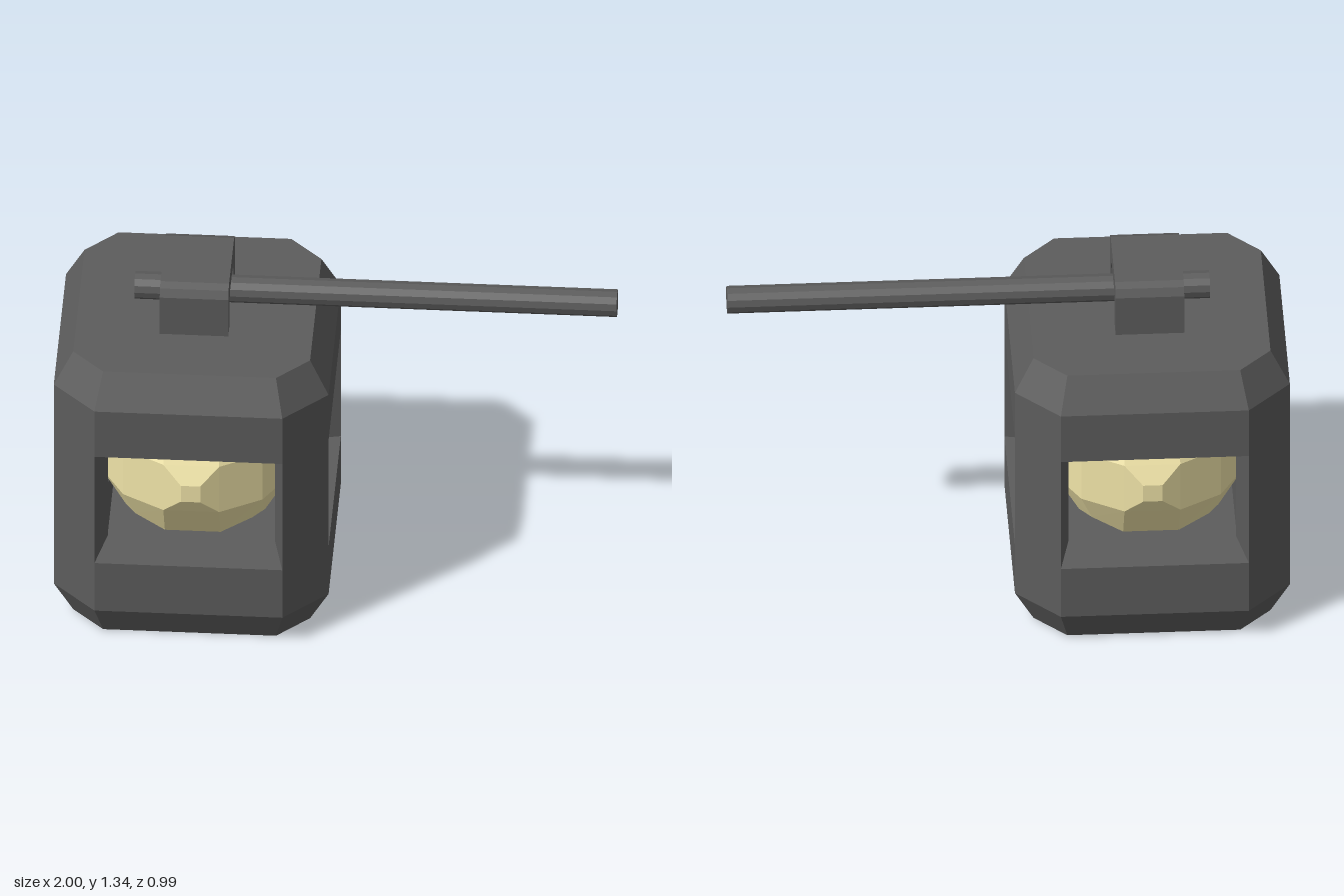
import * as THREE from 'three';

const CX = -0.507; // lantern axis
const metal = new THREE.MeshStandardMaterial({ color: 0x5c5c5c, flatShading: true });
const glow = new THREE.MeshStandardMaterial({ color: 0xf0e4a8, flatShading: true });

function flatGeometry(points) {
  const g = new THREE.BufferGeometry().setFromPoints(points);
  g.computeVertexNormals();
  return g;
}

function addMesh(parent, name, geometry, material) {
  const mesh = new THREE.Mesh(geometry, material);
  mesh.name = name;
  parent.add(mesh);
  return mesh;
}

// Square with cut corners: half width a, corner starts at b
function octagon(a, b, y) {
  return [[a, -b], [a, b], [b, a], [-b, a], [-a, b], [-a, -b], [-b, -a], [b, -a]]
    .map(([x, z]) => new THREE.Vector3(x, y, z));
}

// Skin a stack of octagon rings and cap both ends
function loft(sections) {
  const rings = sections.map(s => octagon(...s));
  const out = [];
  for (let r = 0; r + 1 < rings.length; r++) {
    for (let i = 0; i < 8; i++) {
      const j = (i + 1) % 8, lo = rings[r], up = rings[r + 1];
      out.push(lo[i], up[i], up[j], lo[i], up[j], lo[j]);
    }
  }
  const first = rings[0], last = rings[rings.length - 1];
  for (let i = 1; i < 7; i++) {
    out.push(first[0], first[i], first[i + 1], last[0], last[i + 1], last[i]);
  }
  return flatGeometry(out);
}

// Faceted ball: a rounded cube with 3 x 3 patches per side and a small raised square at each pole
function facetedBall() {
  const grid = (i, j) => {
    const edgeI = i === 0 || i === 3, edgeJ = j === 0 || j === 3;
    const sx = i < 2 ? -1 : 1, sy = j < 2 ? -1 : 1;
    if (edgeI && edgeJ) return [sx * 0.21, sy * 0.21, 0.21];
    if (edgeI) return [sx * 0.25, sy * 0.1, 0.25];
    if (edgeJ) return [sx * 0.1, sy * 0.25, 0.25];
    return [sx * 0.1, sy * 0.1, 0.337];
  };
  const quads = [];
  for (let i = 0; i < 3; i++) {
    for (let j = 0; j < 3; j++) {
      const q = [grid(i, j), grid(i + 1, j), grid(i + 1, j + 1), grid(i, j + 1)];
      if (i !== 1 || j !== 1) { quads.push(q); continue; }
      const pole = q.map(([x, y]) => [x * 0.35, y * 0.35, 0.372]);
      quads.push(pole);
      for (let k = 0; k < 4; k++) {
        const n = (k + 1) % 4;
        quads.push([q[k], q[n], pole[n], pole[k]]);
      }
    }
  }
  const out = [];
  for (let axis = 0; axis < 3; axis++) {
    for (const s of [1, -1]) {
      for (const q of quads) {
        const v = q.map(([x, y, z]) => {
          const p = [x * s, y, z * s];
          return new THREE.Vector3(p[axis], p[(axis + 1) % 3], p[(axis + 2) % 3]);
        });
        out.push(v[0], v[1], v[2], v[0], v[2], v[3]);
      }
    }
  }
  return flatGeometry(out);
}

const shapeOf = pts => new THREE.Shape(pts.map(([x, y]) => new THREE.Vector2(x, y)));

export function createModel() {
  const model = new THREE.Group();
  const lantern = new THREE.Group();
  lantern.name = 'lantern';
  lantern.position.x = CX;
  model.add(lantern);

  // Hollow base and lid with chamfered rims
  addMesh(lantern, 'base', loft([
    [0.425, 0.31, 0], [0.493, 0.337, 0.13], [0.493, 0.337, 0.34],
    [0.32, 0.3, 0.34], [0.32, 0.3, 0.13],
  ]), metal);
  addMesh(lantern, 'lid', loft([
    [0.32, 0.3, 1.01], [0.32, 0.3, 0.81],
    [0.493, 0.337, 0.81], [0.493, 0.337, 1.01], [0.425, 0.31, 1.14],
  ]), metal);

  // Four corner pillars between the windows
  const pillar = new THREE.ExtrudeGeometry(
    shapeOf([[0.493, 0.337], [0.337, 0.493], [0.3, 0.32], [0.32, 0.3]]),
    { depth: 0.47, bevelEnabled: false });
  pillar.rotateX(-Math.PI / 2).translate(0, 0.34, 0);
  for (let i = 0; i < 4; i++) {
    addMesh(lantern, 'pillar', pillar, metal).rotation.y = i * Math.PI / 2;
  }

  // Light inside
  addMesh(lantern, 'lightBall', facetedBall(), glow).position.y = 0.573;

  // Arched bracket on the lid
  const outer = [[0.183, 1.14], [0.183, 1.3], [0.168, 1.33], [0.14, 1.342]];
  const inner = [[0.113, 1.14], [0.113, 1.225], [0.1, 1.257], [0.07, 1.271]];
  const mirror = pts => pts.map(([x, y]) => [-x, y]).reverse();
  const bracket = new THREE.ExtrudeGeometry(
    shapeOf([...outer, ...mirror(outer), ...mirror(inner).reverse(), ...[...inner].reverse()]),
    { depth: 0.246, bevelEnabled: false });
  bracket.translate(0, 0, -0.123).rotateY(Math.PI / 2);
  addMesh(lantern, 'bracket', bracket, metal);

  // Carrying rod through the bracket
  const rod = new THREE.CylinderGeometry(0.05, 0.05, 1.73, 12);
  rod.rotateZ(Math.PI / 2);
  addMesh(model, 'rod', rod, metal).position.set(0.135, 1.22, 0);

  return model;
}
